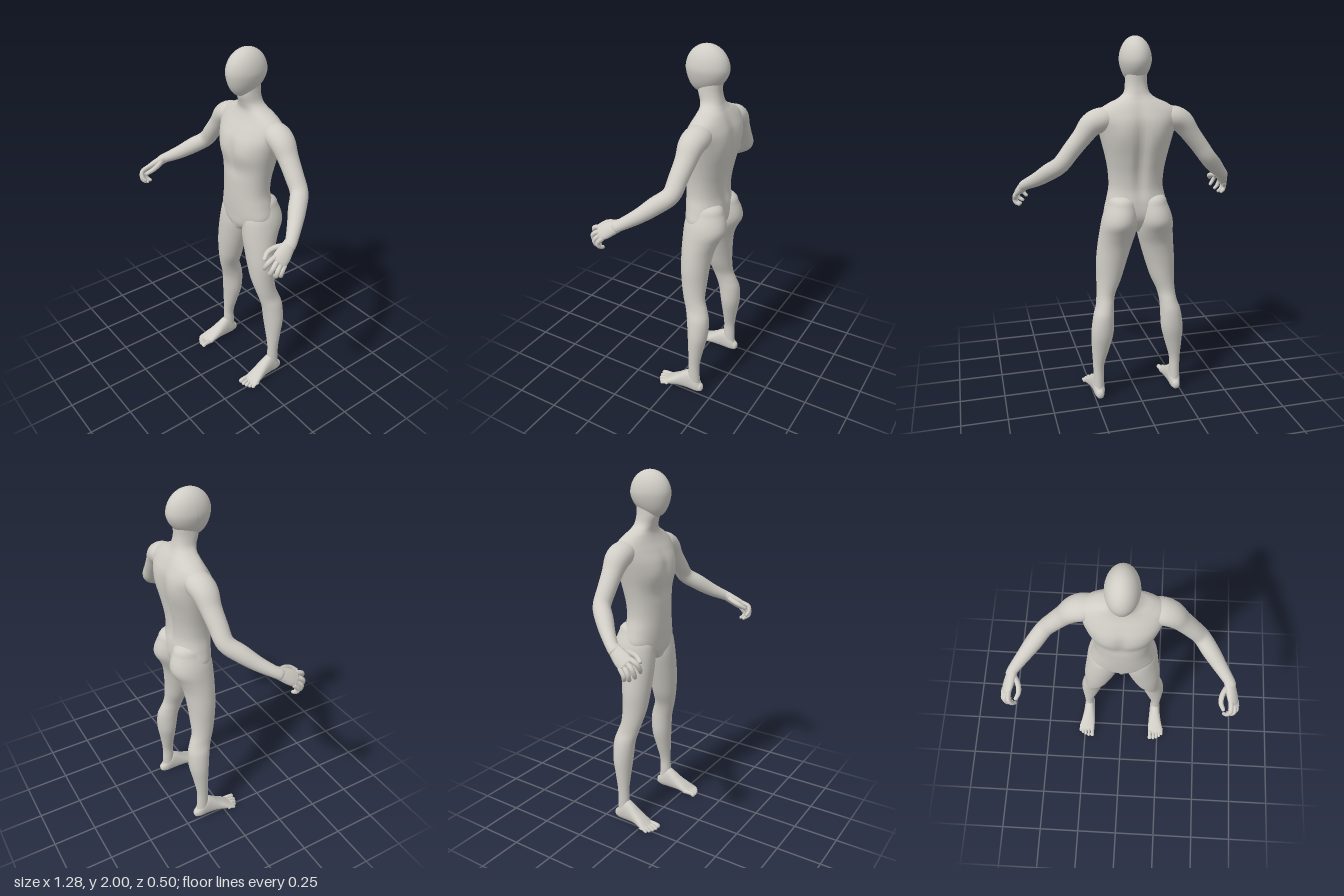
import * as THREE from 'three';

const V = (x, y, z) => new THREE.Vector3(x, y, z);

// Smooth closed skin through sections [x, y, z, radiusU, radiusV] with rounded ends.
// ref: direction of radiusU; axis: fixed section normal (otherwise follows the path)
function loft(rows, { ref = V(1, 0, 0), axis = null, seg = 28, steps = 5, cap = 0.8, pow = 1, shape = null } = {}) {
  const path = new THREE.CatmullRomCurve3(rows.map(r => V(r[0], r[1], r[2])), false, 'catmullrom', 0.5);
  const size = new THREE.CatmullRomCurve3(rows.map(r => V(r[3], r[4], 0)), false, 'catmullrom', 0.5);
  const n = (rows.length - 1) * steps, K = 6, rings = [];
  for (let k = 0; k < K; k++) {
    const a = (k / K) * Math.PI / 2;
    rings.push([0, -Math.cos(a), Math.sin(a)]);
  }
  for (let i = 0; i <= n; i++) rings.push([i / n, 0, 1]);
  for (let k = K - 1; k >= 0; k--) {
    const a = (k / K) * Math.PI / 2;
    rings.push([1, Math.cos(a), Math.sin(a)]);
  }
  const pos = [], index = [];
  const se = v => Math.sign(v) * Math.abs(v) ** pow;
  rings.forEach(([t, off, sc], i) => {
    const c = path.getPoint(t), s = size.getPoint(t);
    const T = axis ? axis.clone() : path.getTangent(t);
    const U = ref.clone().addScaledVector(T, -ref.dot(T)).normalize();
    const W = T.clone().cross(U);
    c.addScaledVector(T, off * cap * Math.min(s.x, s.y));
    for (let j = 0; j < seg; j++) {
      const a = (j / seg) * Math.PI * 2;
      const p = c.clone().addScaledVector(U, se(Math.cos(a)) * s.x * sc).addScaledVector(W, se(Math.sin(a)) * s.y * sc);
      if (shape) shape(p);
      pos.push(p.x, p.y, p.z);
      if (i < rings.length - 1) {
        const j2 = (j + 1) % seg, A = i * seg, B = A + seg;
        index.push(A + j, A + j2, B + j, A + j2, B + j2, B + j);
      }
    }
  });
  const g = new THREE.BufferGeometry();
  g.setAttribute('position', new THREE.Float32BufferAttribute(pos, 3));
  g.setIndex(index);
  g.computeVertexNormals();
  return g;
}

const bump = (d, w) => Math.exp(-((d / w) ** 2));

export function createModel() {
  const model = new THREE.Group();
  model.name = 'mannequin';
  const skin = new THREE.MeshStandardMaterial({ color: 0xd0cdc6 });
  skin.name = 'warm grey';
  const add = (parent, name, geo) => {
    const m = new THREE.Mesh(geo, skin);
    m.name = name;
    parent.add(m);
  };
  const Y = V(0, 1, 0), Z = V(0, 0, 1);

  // Torso and neck: [y, front z, back z, half width]
  const torso = [
    [0.985, -0.02, -0.15, 0.05], [1.03, -0.002, -0.19, 0.14], [1.08, 0.003, -0.21, 0.176],
    [1.15, 0.008, -0.21, 0.163], [1.22, 0.01, -0.2, 0.148], [1.3, 0.01, -0.205, 0.151],
    [1.38, 0.012, -0.22, 0.165], [1.46, 0.02, -0.235, 0.185], [1.53, 0.012, -0.24, 0.203],
    [1.585, -0.014, -0.235, 0.215], [1.63, -0.04, -0.218, 0.205], [1.665, -0.055, -0.2, 0.155],
    [1.69, -0.058, -0.185, 0.1], [1.72, -0.05, -0.172, 0.066], [1.77, -0.035, -0.162, 0.056],
    [1.84, -0.04, -0.165, 0.054],
  ].map(([y, f, b, w]) => [0, y, (f + b) / 2, w, (f - b) / 2]);
  add(model, 'torso', loft(torso, {
    axis: Y, seg: 64, steps: 6, cap: 0.4, pow: 0.92,
    shape: p => {
      const x = Math.abs(p.x);
      if (p.z < -0.12) { // spine groove and shoulder blades
        p.z += 0.022 * bump(x, 0.03) * bump(p.y - 1.4, 0.22);
        p.z -= 0.008 * bump(x - 0.1, 0.05) * bump(p.y - 1.52, 0.08);
      } else if (p.z > -0.08) { // breastbone, chest and belly
        p.z -= 0.01 * bump(x, 0.022) * bump(p.y - 1.47, 0.09);
        p.z += 0.007 * bump(x - 0.085, 0.06) * bump(p.y - 1.47, 0.06);
        p.z -= 0.006 * bump(x, 0.09) * bump(p.y - 1.36, 0.04);
      }
    },
  }));

  // Groin
  add(model, 'groin', loft([[0, 1.0, -0.045, 0.03, 0.038], [0, 1.04, -0.04, 0.05, 0.04], [0, 1.09, -0.045, 0.06, 0.04]], { axis: Y }));

  // Egg-shaped head, narrower at the chin
  const head = new THREE.SphereGeometry(1, 48, 32);
  const hp = head.attributes.position;
  for (let i = 0; i < hp.count; i++) {
    const y = hp.getY(i), low = Math.max(0, -y);
    hp.setXYZ(i, hp.getX(i) * 0.083 * (1 - 0.16 * low), 1.878 + y * 0.122,
      -0.082 + hp.getZ(i) * 0.118 * (1 - 0.1 * low) + 0.025 * low * low);
  }
  head.computeVertexNormals();
  add(model, 'head', head);

  for (const s of [1, -1]) {
    const side = s > 0 ? 'left' : 'right';
    const limb = (name, rows, o = {}) => add(model, side + name, loft(rows.map(([x, ...r]) => [x * s, ...r]), o));

    // Leg with buttock: [y, inner x, outer x, front z, back z]
    limb('Leg', [
      [0.05, 0.195, 0.255, -0.1, -0.172], [0.12, 0.195, 0.255, -0.098, -0.168], [0.2, 0.193, 0.256, -0.1, -0.168],
      [0.3, 0.165, 0.262, -0.096, -0.184], [0.4, 0.14, 0.265, -0.088, -0.203], [0.5, 0.136, 0.251, -0.076, -0.204],
      [0.56, 0.133, 0.232, -0.06, -0.188], [0.62, 0.12, 0.225, -0.042, -0.168], [0.7, 0.085, 0.222, -0.024, -0.166],
      [0.8, 0.053, 0.222, -0.013, -0.172], [0.9, 0.024, 0.213, -0.008, -0.187], [0.97, 0.006, 0.204, -0.006, -0.215],
      [1.03, 0.002, 0.196, -0.008, -0.247], [1.08, 0.002, 0.184, -0.015, -0.247], [1.14, 0.008, 0.16, -0.04, -0.226],
    ].map(([y, i, o, f, b]) => [(i + o) / 2, y, (f + b) / 2, (o - i) / 2, (f - b) / 2]), { axis: Y, seg: 36, cap: 0.7 });

    // Foot: [z, centre x, half width, bottom y, top y]
    limb('Foot', [
      [-0.175, 0.225, 0.022, 0.008, 0.06], [-0.15, 0.225, 0.031, 0.002, 0.1], [-0.11, 0.225, 0.034, 0.002, 0.135],
      [-0.07, 0.226, 0.037, 0.004, 0.117], [-0.03, 0.229, 0.042, 0.006, 0.086], [0.01, 0.234, 0.048, 0.004, 0.058],
      [0.04, 0.238, 0.05, 0.002, 0.037], [0.055, 0.238, 0.045, 0.004, 0.028],
    ].map(([z, x, w, b, t]) => [x, (b + t) / 2, z, w, (t - b) / 2]), { axis: Z, pow: 0.9 });
    [[0.2, 0.102, 0.014], [0.224, 0.1, 0.0105], [0.245, 0.093, 0.0105], [0.264, 0.082, 0.01], [0.28, 0.068, 0.01]]
      .forEach(([x, z, r], i) => limb('Toe' + (i + 1), [
        [x, 0.02, 0.025, r, r], [x, 0.02, z - 0.03, r * 0.9, r * 0.9], [x, r + 0.001, z - r, r, r],
      ], { seg: 14, cap: 1 }));

    // Arm from shoulder to wrist
    limb('Arm', [
      [0.13, 1.588, -0.135, 0.06, 0.055], [0.19, 1.585, -0.132, 0.072, 0.063], [0.244, 1.56, -0.128, 0.068, 0.061],
      [0.292, 1.5, -0.125, 0.056, 0.051], [0.35, 1.428, -0.118, 0.05, 0.047], [0.405, 1.357, -0.108, 0.047, 0.045],
      [0.46, 1.308, -0.05, 0.046, 0.045], [0.513, 1.262, 0.01, 0.038, 0.038], [0.566, 1.224, 0.075, 0.031, 0.029],
      [0.58, 1.212, 0.1, 0.032, 0.026],
    ], { ref: Z });

    // Palm
    limb('Palm', [
      [0.568, 1.222, 0.08, 0.03, 0.026], [0.582, 1.2, 0.12, 0.038, 0.025],
      [0.594, 1.18, 0.155, 0.043, 0.022], [0.602, 1.166, 0.18, 0.041, 0.018],
    ], { ref: V(0.57 * s, -0.66, -0.48) });

    // Curled fingers and thumb
    const digits = {
      IndexFinger: [[0.584, 1.188, 0.192], [0.585, 1.172, 0.23], [0.571, 1.142, 0.239], [0.556, 1.124, 0.231]],
      MiddleFinger: [[0.597, 1.173, 0.183], [0.609, 1.15, 0.22], [0.598, 1.115, 0.227], [0.579, 1.102, 0.217]],
      RingFinger: [[0.609, 1.158, 0.174], [0.622, 1.13, 0.204], [0.614, 1.1, 0.204], [0.594, 1.088, 0.195]],
      LittleFinger: [[0.62, 1.143, 0.163], [0.626, 1.118, 0.184], [0.62, 1.097, 0.181], [0.604, 1.088, 0.171]],
      Thumb: [[0.562, 1.21, 0.11], [0.538, 1.202, 0.15], [0.532, 1.188, 0.192], [0.546, 1.17, 0.222]],
    };
    for (const [name, pts] of Object.entries(digits)) {
      const k = name === 'Thumb' ? 1.15 : 1;
      limb(name, pts.map((p, i) => [...p, ...Array(2).fill(k * [0.0135, 0.0125, 0.0115, 0.0095][i])]), { ref: V(s, 0.3, 0), seg: 14, cap: 1 });
    }
  }
  return model;
}
